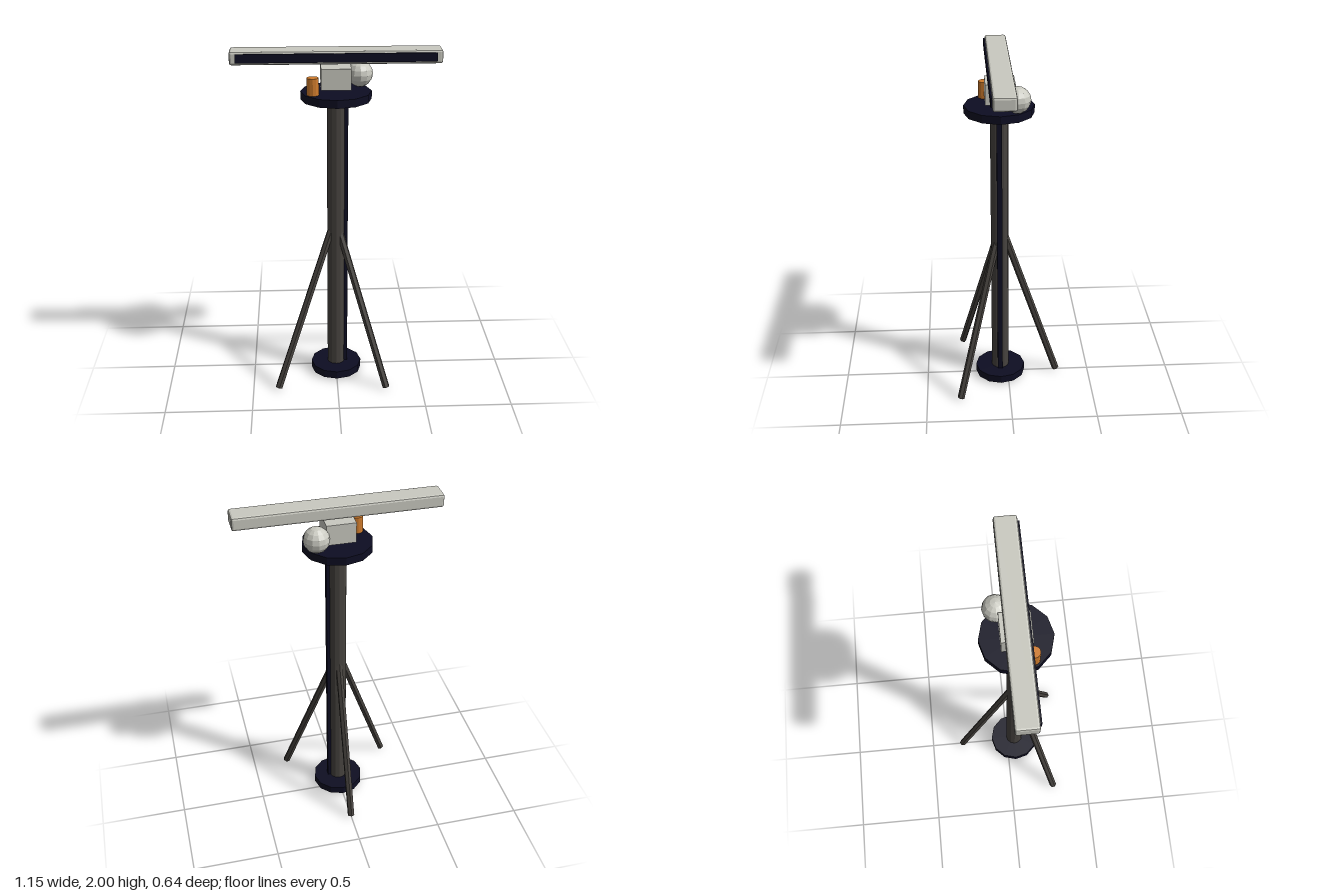
import * as THREE from 'three';
import { RoundedBoxGeometry } from 'three/addons/geometries/RoundedBoxGeometry.js';

const material = (name, color) => {
  const m = new THREE.MeshStandardMaterial({ color, flatShading: true });
  m.name = name;
  return m;
};

export function createModel() {
  const model = new THREE.Group();
  model.name = 'radarMast';

  const paleGrey = material('paleGrey', 0xc9c9c0);
  const navy = material('navy', 0x0d0d22);
  const steel = material('darkSteel', 0x47433f);
  const orange = material('orange', 0xd07c2c);

  const axisZ = 0.048; // the mast stands slightly forward of centre

  const add = (name, geometry, mat, x, y, z) => {
    const mesh = new THREE.Mesh(geometry, mat);
    mesh.name = name;
    mesh.position.set(x, y, z);
    model.add(mesh);
    return mesh;
  };
  const disc = (name, r, y0, y1, sides, mat, x = 0, z = axisZ) =>
    add(name, new THREE.CylinderGeometry(r, r, y1 - y0, sides), mat, x, (y0 + y1) / 2, z);

  // Base plate, mast and instrument platform
  disc('basePlate', 0.15, 0.014, 0.06, 12, navy);
  disc('mast', 0.051, 0.02, 1.74, 12, steel);
  disc('platform', 0.197, 1.72, 1.765, 12, navy);

  // Cable duct along the left side of the mast
  add('cableDuct', new THREE.BoxGeometry(0.03, 1.655, 0.03), navy, 0.052, 0.8925, 0.05);

  // Three hexagonal struts, each with a ridge facing outward
  const strut = (name, top, foot) => {
    const span = top.clone().sub(foot);
    const mesh = add(name, new THREE.CylinderGeometry(0.021, 0.021, span.length(), 6), steel, 0, 0, 0);
    mesh.position.addVectors(top, foot).multiplyScalar(0.5);
    const up = span.clone().normalize();
    const side = new THREE.Vector3(0, 1, 0).cross(up).normalize();
    const out = new THREE.Vector3().crossVectors(side, up);
    mesh.quaternion.setFromRotationMatrix(new THREE.Matrix4().makeBasis(side, up, out));
  };
  const v = (x, y, z) => new THREE.Vector3(x, y, z);
  strut('backStrut', v(0, 0.98, 0.025), v(0, 0.012, -0.3));
  strut('rightStrut', v(-0.015, 0.98, 0.052), v(-0.35, 0.012, 0.277));
  strut('leftStrut', v(0.005, 0.98, 0.055), v(0.288, 0.012, 0.298));

  // Instruments on the platform
  add('gearbox', new THREE.BoxGeometry(0.165, 0.117, 0.165), paleGrey, -0.002, 1.847, 0.044);
  add('dome', new THREE.SphereGeometry(0.073, 12, 8), paleGrey, 0.137, 1.837, -0.046);
  disc('beacon', 0.033, 1.76, 1.86, 12, orange, -0.13, 0.126);

  // Antenna bar with a dark front panel
  add('antennaBar', new RoundedBoxGeometry(1.155, 0.075, 0.125, 1, 0.012), paleGrey, 0, 1.9625, 0.044);
  add('antennaPanel', new THREE.BoxGeometry(1.09, 0.048, 0.009), navy, 0, 1.9635, 0.111);

  return model;
}
